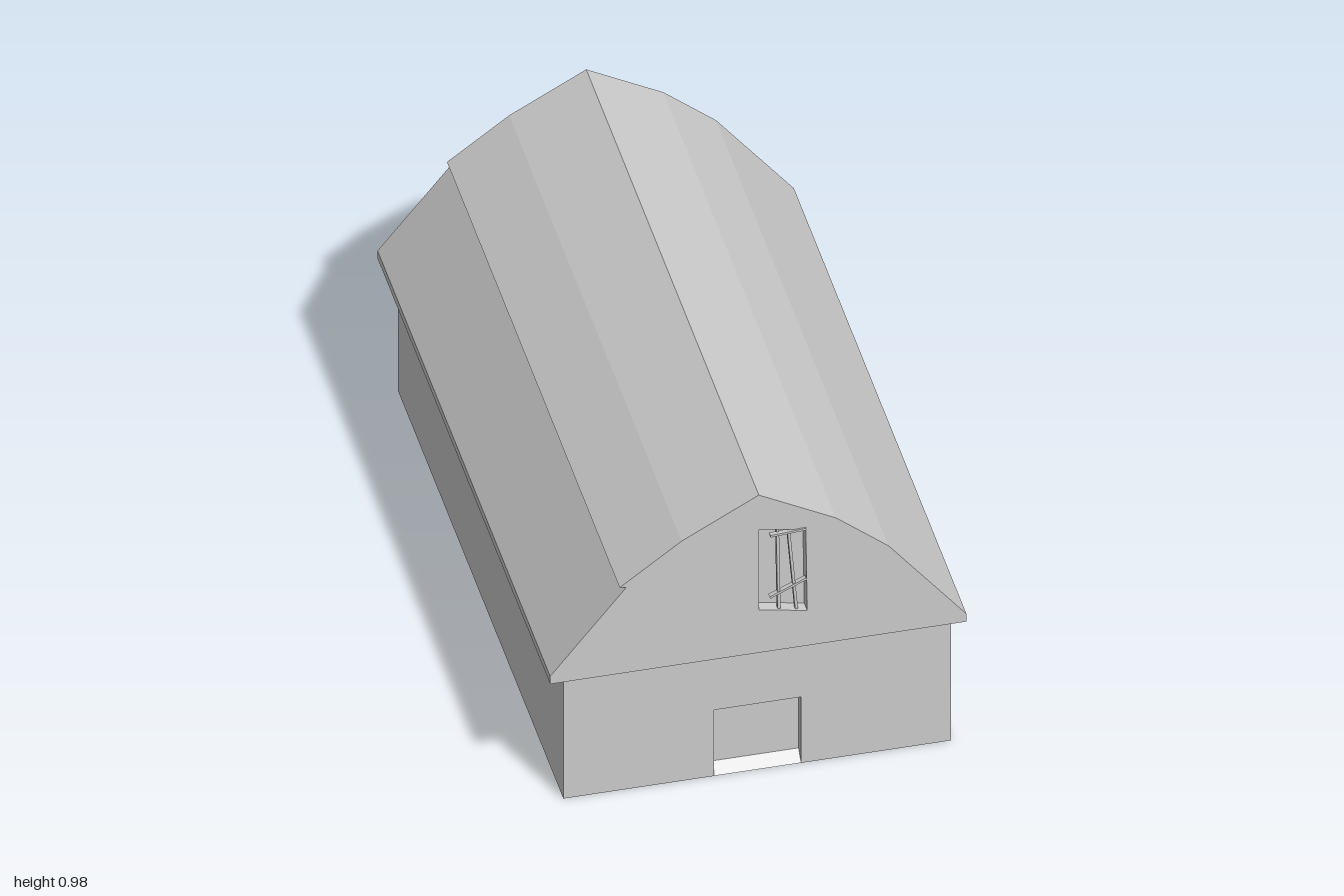
import * as THREE from 'three';

const material = new THREE.MeshStandardMaterial({ color: 0xcccccc, flatShading: true });

const toPath = (points, Type = THREE.Shape) => new Type(points.map(([x, y]) => new THREE.Vector2(x, y)));

// Extrudes an outline along z from z0 to z1.
function prism(name, points, z0, z1, hole) {
  const shape = toPath(points);
  if (hole) shape.holes.push(toPath(hole, THREE.Path));
  const geometry = new THREE.ExtrudeGeometry(shape, { depth: z1 - z0, bevelEnabled: false });
  geometry.translate(0, 0, z0);
  const mesh = new THREE.Mesh(geometry, material);
  mesh.name = name;
  return mesh;
}

// A thin square-edged bar between two points of the window opening.
function windowBar([x0, y0], [x1, y1], width, zMid, depth) {
  const bar = new THREE.Mesh(
    new THREE.BoxGeometry(width, Math.hypot(x1 - x0, y1 - y0), depth), material);
  bar.position.set((x0 + x1) / 2, (y0 + y1) / 2, zMid);
  bar.rotation.z = Math.atan2(y1 - y0, x1 - x0) - Math.PI / 2;
  bar.name = 'windowBar';
  return bar;
}

export function createModel() {
  const barn = new THREE.Group();
  barn.name = 'barn';

  // Walls: a solid block, with a thin front layer notched for the doorway
  const [xl, xr, wallTop, wallBack, wallFront] = [-0.55, 0.555, 0.43, -0.945, 0.965];
  const [doorL, doorR, doorTop, recess] = [-0.12, 0.128, 0.23, 0.03];
  const doorBack = wallFront - recess;
  barn.add(prism('walls', [[xl, 0], [xr, 0], [xr, wallTop], [xl, wallTop]], wallBack, doorBack));
  barn.add(prism('frontWall', [
    [xl, 0], [doorL, 0], [doorL, doorTop], [doorR, doorTop], [doorR, 0],
    [xr, 0], [xr, wallTop], [xl, wallTop],
  ], doorBack, wallFront));

  // Sloping sill in the doorway: a triangle in z and y, swept along x
  const sill = prism('doorSill', [[-wallFront, 0], [-doorBack, 0], [-doorBack, 0.03]], doorL, doorR);
  sill.rotation.y = Math.PI / 2;
  barn.add(sill);

  // Roof: gambrel outline with a small lip on one side, front layer cut for the window
  const outline = [
    [-0.595, 0.43], [0.592, 0.43], [0.592, 0.457], [0.37, 0.735], [0.22, 0.86], [0, 0.98],
    [-0.22, 0.86], [-0.397, 0.73], [-0.378, 0.727], [-0.595, 0.457],
  ];
  const opening = [[0, 0.86], [0.134, 0.835], [0.138, 0.552], [0, 0.58]];
  const roofFront = 0.995;
  const windowBack = roofFront - 0.035;
  barn.add(prism('roof', outline, -1, windowBack));
  barn.add(prism('frontGable', outline, windowBack, roofFront, opening));

  // Crooked window bars
  const bars = new THREE.Group();
  bars.name = 'windowBars';
  bars.add(
    windowBar([0.055, 0.848], [0.059, 0.57], 0.008, 0.983, 0.014),
    windowBar([0.086, 0.842], [0.109, 0.56], 0.008, 0.983, 0.014),
    windowBar([0.032, 0.833], [0.134, 0.84], 0.007, 0.993, 0.014),
    windowBar([0.032, 0.615], [0.136, 0.662], 0.007, 0.987, 0.014),
  );
  barn.add(bars);

  return barn;
}
